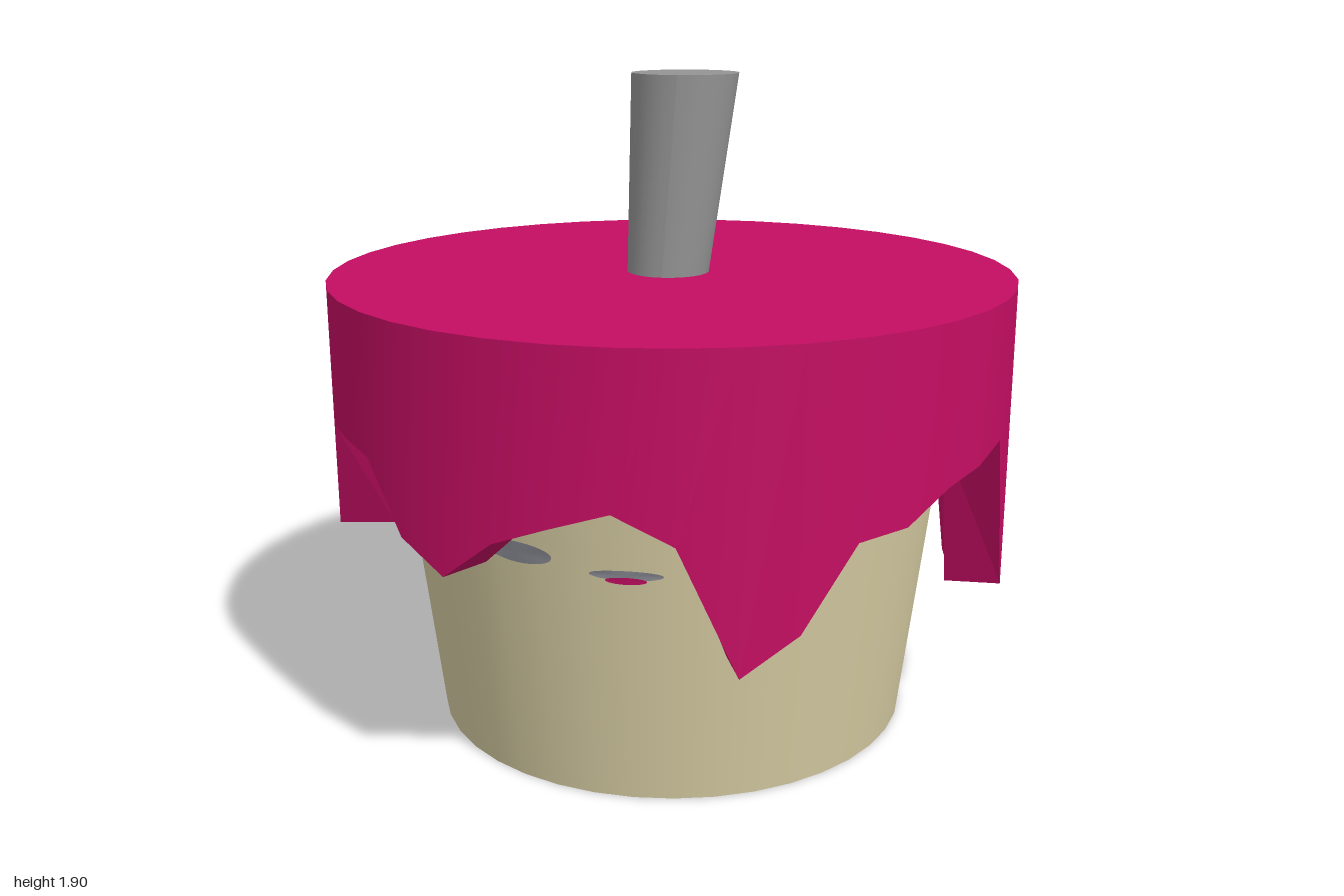
import * as THREE from 'three';

const mat = (name, color, side = THREE.FrontSide) => {
  const m = new THREE.MeshStandardMaterial({ color, side });
  m.name = name;
  return m;
};

const SIDES = 40, TOP = 1.33, OUTER = 1, INNER = 0.84;

// Height of the icing's lower edge every 9 degrees, from the front towards +x
const DRIPS = [
  0.92, 0.84, 0.49, 0.59, 0.81, 0.82, 0.89, 0.91, 0.94, 0.46,
  0.46, 0.46, 0.73, 0.75, 0.91, 0.92, 0.95, 0.82, 0.68, 0.68,
  0.73, 0.89, 0.83, 0.70, 0.42, 0.42, 0.72, 0.94, 0.93, 0.86,
  0.80, 0.60, 0.60, 0.945, 0.95, 0.94, 0.76, 0.69, 0.81, 0.87,
];

const ring = (radius, height) => DRIPS.map((d, k) => {
  const a = k * Math.PI * 2 / SIDES;
  return [radius * Math.sin(a), height(d), radius * Math.cos(a)];
});

// Closed strip of quads between a lower and an upper ring
function strip(lower, upper, flat) {
  const index = [];
  for (let k = 0; k < SIDES; k++) {
    const n = (k + 1) % SIDES;
    index.push(k, n, SIDES + n, k, SIDES + n, SIDES + k);
  }
  let g = new THREE.BufferGeometry();
  g.setAttribute('position', new THREE.Float32BufferAttribute([...lower, ...upper].flat(), 3));
  g.setIndex(index);
  if (flat) g = g.toNonIndexed();
  g.computeVertexNormals();
  return g;
}

const cakeRadius = y => 0.71 + 0.118 * y;

// Thin oval patch wrapped around the tapered cake
function oval(cx, cy, rx, ry, lift) {
  const g = new THREE.CircleGeometry(1, 32);
  const p = g.attributes.position;
  for (let i = 0; i < p.count; i++) {
    const x = cx + p.getX(i) * rx, y = cy + p.getY(i) * ry;
    const r = cakeRadius(y) + lift;
    p.setXYZ(i, x, y, Math.sqrt(r * r - x * x));
  }
  g.computeVertexNormals();
  return g;
}

export function createModel() {
  const group = new THREE.Group();
  const cream = mat('cream', 0xd6cca2);
  const pink = mat('pink icing', 0xc40e62);
  const grey = mat('stick grey', 0x949494);
  const eyeGrey = mat('face grey', 0x888892, THREE.DoubleSide);

  const add = (parent, name, geometry, material) => {
    const m = new THREE.Mesh(geometry, material);
    m.name = name;
    parent.add(m);
    return m;
  };

  // Tapered cake
  const height = 1.32;
  add(group, 'cake', new THREE.CylinderGeometry(cakeRadius(height), 0.71, height, SIDES)
    .translate(0, height / 2, 0), cream);

  // Dripping icing shell
  const icing = new THREE.Group();
  icing.name = 'icing';
  group.add(icing);
  const outerEdge = ring(OUTER, d => d), innerEdge = ring(INNER, d => d - 0.01);
  add(icing, 'icingOuterWall', strip(outerEdge, ring(OUTER, () => TOP)), pink);
  add(icing, 'icingInnerWall', strip(ring(INNER, () => TOP), innerEdge), pink);
  add(icing, 'icingLowerEdge', strip(innerEdge, outerEdge, true), pink);
  add(icing, 'icingTop', new THREE.CircleGeometry(OUTER, SIDES)
    .rotateX(-Math.PI / 2).translate(0, TOP, 0), pink);

  // Leaning stick, wider at the top, with level ends
  const stick = new THREE.CylinderGeometry(0.155, 0.12, 0.57, 32);
  const p = stick.attributes.position;
  for (let i = 0; i < p.count; i++) {
    const t = p.getY(i) / 0.57 + 0.5;
    p.setXYZ(i, p.getX(i) - 0.01 + 0.045 * t, TOP + 0.57 * t, p.getZ(i) + 0.01 - 0.032 * t);
  }
  stick.computeVertexNormals();
  add(group, 'stick', stick, grey);

  // Face: two eyes and a mouth with a tongue
  for (const s of [-1, 1]) add(group, s > 0 ? 'leftEye' : 'rightEye', oval(s * 0.3, 0.71, 0.1, 0.03, 0.006), eyeGrey);
  add(group, 'mouth', oval(0, 0.682, 0.098, 0.014, 0.006), eyeGrey);
  add(group, 'tongue', oval(0, 0.668, 0.055, 0.01, 0.009), pink);

  return group;
}
